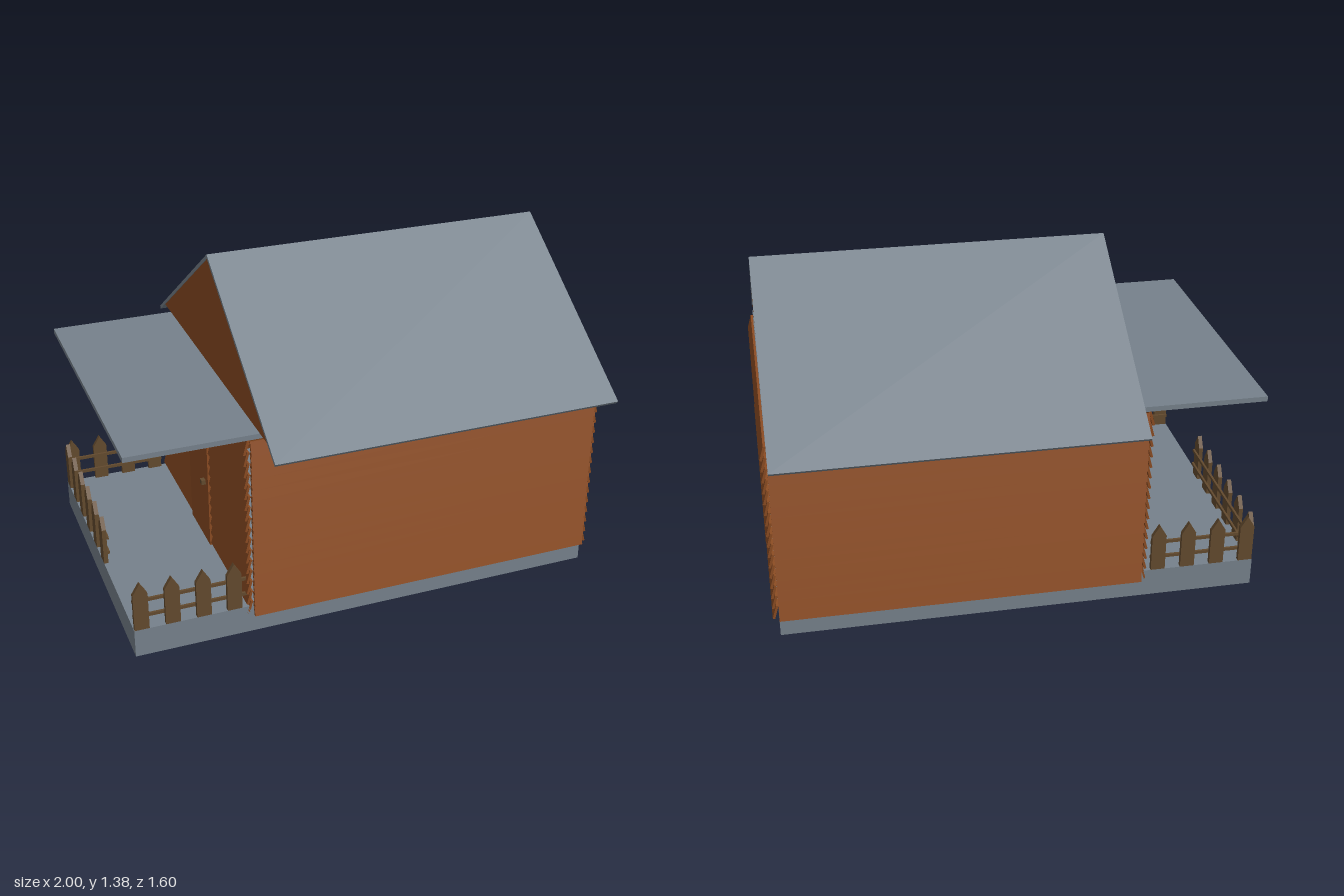
import * as THREE from 'three';

export function createModel() {
  const model = new THREE.Group();
  model.name = 'logCabin';

  const mat = (name, color, side = THREE.FrontSide) => {
    const m = new THREE.MeshStandardMaterial({ color, side });
    m.name = name;
    return m;
  };
  const slate = mat('slateGrey', 0x76818b);
  const wood = mat('wallWood', 0x8a4b22, THREE.DoubleSide);
  const fenceWood = mat('fenceWood', 0x634a2e);

  const add = (parent, name, geo, material, x = 0, y = 0, z = 0) => {
    const mesh = new THREE.Mesh(geo, material);
    mesh.name = name;
    mesh.position.set(x, y, z);
    parent.add(mesh);
    return mesh;
  };
  const group = (name, x = 0, z = 0, turn = 0) => {
    const g = new THREE.Group();
    g.name = name;
    g.position.set(x, 0, z);
    g.rotation.y = turn;
    model.add(g);
    return g;
  };

  // Foundation and the ceiling slab that also covers the porch
  add(model, 'foundation', new THREE.BoxGeometry(1.97, 0.12, 1.24), slate, -0.015, 0.06, 0);
  add(model, 'ceilingSlab', new THREE.BoxGeometry(1.97, 0.021, 1.24), slate, -0.015, 0.875, 0);

  // Walls of overlapping tilted planks; local +z points outward
  const ROWS = 16, STEP = 0.048, BOTTOM = 0.081, TILT = -0.27;
  const plank = (parent, row, length, x = 0, dy = 0, dz = 0) => {
    const geo = new THREE.BoxGeometry(length, 0.062, 0.01);
    geo.rotateX(TILT);
    add(parent, 'plank', geo, wood, x, BOTTOM + row * STEP + 0.031 + dy, 0.013 + dz);
  };

  for (const side of [1, -1]) {
    const wall = group(side > 0 ? 'frontWall' : 'backWall', 0.2275, side * 0.62, side > 0 ? 0 : Math.PI);
    for (let i = 0; i < ROWS; i++) plank(wall, i, 1.485);
  }

  // A wall with a gap of half width 0.125 in its lower rows
  const splitWall = (wall, gapRows) => {
    for (let i = 0; i < ROWS; i++) {
      if (i < gapRows) for (const s of [1, -1]) plank(wall, i, 0.495, s * 0.3725);
      else plank(wall, i, 1.24);
    }
  };
  const endWall = group('leftEndWall', 0.97, 0, Math.PI / 2);
  splitWall(endWall, 12);
  for (let i = 1; i < 13; i++) plank(endWall, i, 0.27, 0, -0.003, 0.002);

  const porchWall = group('porchWall', -0.515, 0, -Math.PI / 2);
  splitWall(porchWall, 11);
  add(porchWall, 'door', new THREE.BoxGeometry(0.27, 0.5, 0.03), wood, 0, 0.37, 0.015);
  add(porchWall, 'doorHandle', new THREE.BoxGeometry(0.025, 0.02, 0.02), fenceWood, 0.09, 0.41, 0.038);

  // Roof: a thin chevron pushed along x
  const chevron = new THREE.Shape([
    [0, 1.38], [-0.8, 0.845], [-0.792, 0.834], [0, 1.362], [0.792, 0.834], [0.8, 0.845],
  ].map(([a, b]) => new THREE.Vector2(a, b)));
  const roof = new THREE.ExtrudeGeometry(chevron, { depth: 1.445, bevelEnabled: false });
  roof.rotateY(Math.PI / 2);
  add(model, 'roof', roof, slate, -0.475, 0, 0);

  // Gables close the two ends of the hollow attic
  const triangle = new THREE.Shape([
    new THREE.Vector2(-0.715, 0.885), new THREE.Vector2(0.715, 0.885), new THREE.Vector2(0, 1.364),
  ]);
  for (const [name, x] of [['leftGable', 0.967], ['rightGable', -0.472]]) {
    add(model, name, new THREE.ShapeGeometry(triangle), wood, x).rotation.y = x > 0 ? Math.PI / 2 : -Math.PI / 2;
  }

  // Picket fences; local x runs along the fence
  const picketShape = new THREE.Shape([
    [-0.03, 0.12], [0.03, 0.12], [0.03, 0.28], [0, 0.33], [-0.03, 0.28],
  ].map(([a, b]) => new THREE.Vector2(a, b)));
  const picketGeo = new THREE.ExtrudeGeometry(picketShape, { depth: 0.018, bevelEnabled: false });
  const fence = (name, x, z, turn, count, step, railLength) => {
    const g = group(name, x, z, turn);
    for (let i = 0; i < count; i++) add(g, 'picket', picketGeo, fenceWood, i * step, 0, -0.018);
    for (const y of [0.17, 0.24]) {
      add(g, 'rail', new THREE.BoxGeometry(railLength, 0.013, 0.01), fenceWood, railLength / 2 - 0.03, y, -0.022);
    }
  };
  fence('frontFence', -0.968, 0.62, 0, 4, 0.126, 0.48);
  fence('backFence', -0.59, -0.62, Math.PI, 4, 0.126, 0.41);
  fence('porchFence', -1, -0.58, -Math.PI / 2, 6, 0.133, 0.725);

  return model;
}
